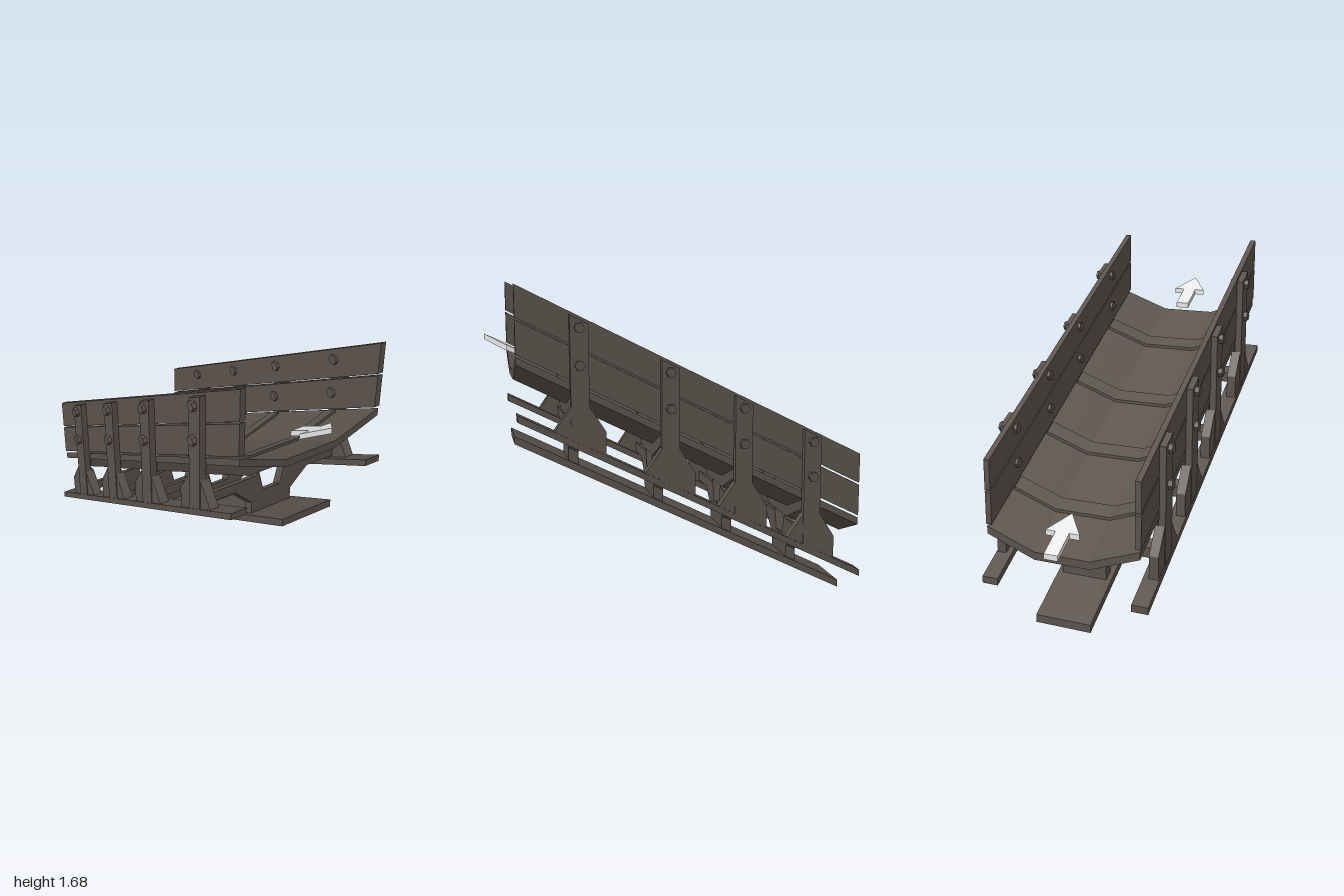
import * as THREE from 'three';

export function createModel() {
  const model = new THREE.Group();
  model.name = 'slopedTrough';
  const wood = new THREE.MeshStandardMaterial({ color: 0x5b534c });
  wood.name = 'darkWood';
  const pale = new THREE.MeshStandardMaterial({ color: 0xececec });
  pale.name = 'paleArrow';

  const SLOPE = 0.5, BACK = -0.888, FRONT = 0.87;
  const stations = [0.57, 0.126, -0.25, -0.617];

  const add = (name, geo, mat = wood) => {
    const mesh = new THREE.Mesh(geo, mat);
    mesh.name = name;
    model.add(mesh);
    return mesh;
  };
  // Lift each vertex with z, so ends stay vertical while the length climbs
  const shear = (geo) => {
    const p = geo.attributes.position;
    for (let i = 0; i < p.count; i++) p.setY(i, p.getY(i) + SLOPE * p.getZ(i));
    const flat = geo.index ? geo.toNonIndexed() : geo;
    flat.computeVertexNormals();
    return flat;
  };
  const extrude = (pts, depth) => new THREE.ExtrudeGeometry(
    new THREE.Shape(pts.map(([x, y]) => new THREE.Vector2(x, y))),
    { depth, bevelEnabled: false });
  // Cross-section in x and y, run from z0 to z1 up the slope
  const run = (pts, z0, z1) => shear(extrude(pts, z1 - z0).translate(0, 0, z0));
  const rect = (x0, x1, y0, y1) => [[x0, y0], [x1, y0], [x1, y1], [x0, y1]];
  // Outline in z and y, given thickness from x0 to x1
  const plate = (pts, x0, x1) => extrude(pts, x1 - x0).rotateY(-Math.PI / 2).translate(x1, 0, 0);
  const mirrored = (half) => [...half, ...half.slice().reverse().map(([x, y]) => [-x, y])];

  // Trough floor with raised sides
  add('troughFloor', run(mirrored([[0.145, 0.775], [0.4, 0.87], [0.4, 0.908], [0.145, 0.815]]).length
    ? [[-0.145, 0.775], [0.145, 0.775], [0.4, 0.87], [0.4, 0.908],
      [0.145, 0.815], [-0.145, 0.815], [-0.4, 0.908], [-0.4, 0.87]] : [], BACK, FRONT));

  // Rails underneath
  add('centreRail', run(rect(-0.145, 0.145, 0.445, 0.485), BACK, FRONT));

  for (const s of [-1, 1]) {
    const span = (a, b) => (s > 0 ? [a, b] : [-b, -a]);
    add('sideRail', run(rect(...span(0.355, 0.44), 0.6, 0.635), BACK, FRONT));
    add('upperSidePlank', run(rect(...span(0.375, 0.405), 1.095, 1.25), BACK, FRONT));
    add('lowerSidePlank', run(rect(...span(0.375, 0.405), 0.92, 1.085), BACK, FRONT));

    for (const z of stations) {
      // Upright post, flared foot and bolts
      add('sidePost', run(rect(...span(0.403, 0.438), 0.63, 1.235), z - 0.045, z + 0.045));
      const foot = add('postFoot', plate([
        [-0.125, 0.57], [0.125, 0.695], [0.125, 0.7], [0.045, 0.815], [-0.045, 0.815], [-0.125, 0.69],
      ], ...span(0.385, 0.434)));
      foot.position.set(0, SLOPE * z, z);
      for (const y of [1.195, 1.015]) {
        const bolt = add('bolt', new THREE.CylinderGeometry(0.026, 0.026, 0.1, 6).toNonIndexed());
        bolt.geometry.computeVertexNormals();
        bolt.rotation.z = Math.PI / 2;
        bolt.position.set(s * 0.41, y + SLOPE * z, z);
      }
    }
  }

  for (const z of stations) {
    // Bent rib that wraps the trough floor
    add('troughRib', run([[-0.145, 0.715], [0.145, 0.715], [0.4, 0.82], [0.375, 0.915],
      [0.145, 0.83], [-0.145, 0.83], [-0.375, 0.915], [-0.4, 0.82]], z - 0.035, z + 0.035));
    // Crossbeam with a splayed centre leg and a notch at the top
    add('crossSupport', run([[0.08, 0.72], [0.05, 0.6], [-0.05, 0.6], [-0.08, 0.72],
      [-0.1, 0.697], [-0.39, 0.697], [-0.39, 0.645], [-0.22, 0.645], [-0.12, 0.55], [-0.12, 0.48],
      [0.12, 0.48], [0.12, 0.55], [0.22, 0.645], [0.39, 0.645], [0.39, 0.697], [0.1, 0.697]],
    z - 0.026, z + 0.026));
  }

  // Direction arrows pointing up the slope at both ends
  for (const tip of [1, -0.765]) {
    const geo = extrude([[0, 0], [0.09, 0.11], [0.036, 0.11], [0.036, 0.235],
      [-0.036, 0.235], [-0.036, 0.11], [-0.09, 0.11]], 0.028);
    geo.rotateX(-Math.PI / 2).scale(1, 1, 1).translate(0, 0.902, tip);
    // Outline y becomes -z, so the tip leads toward the front
    add('directionArrow', shear(geo), pale);
  }
  return model;
}
